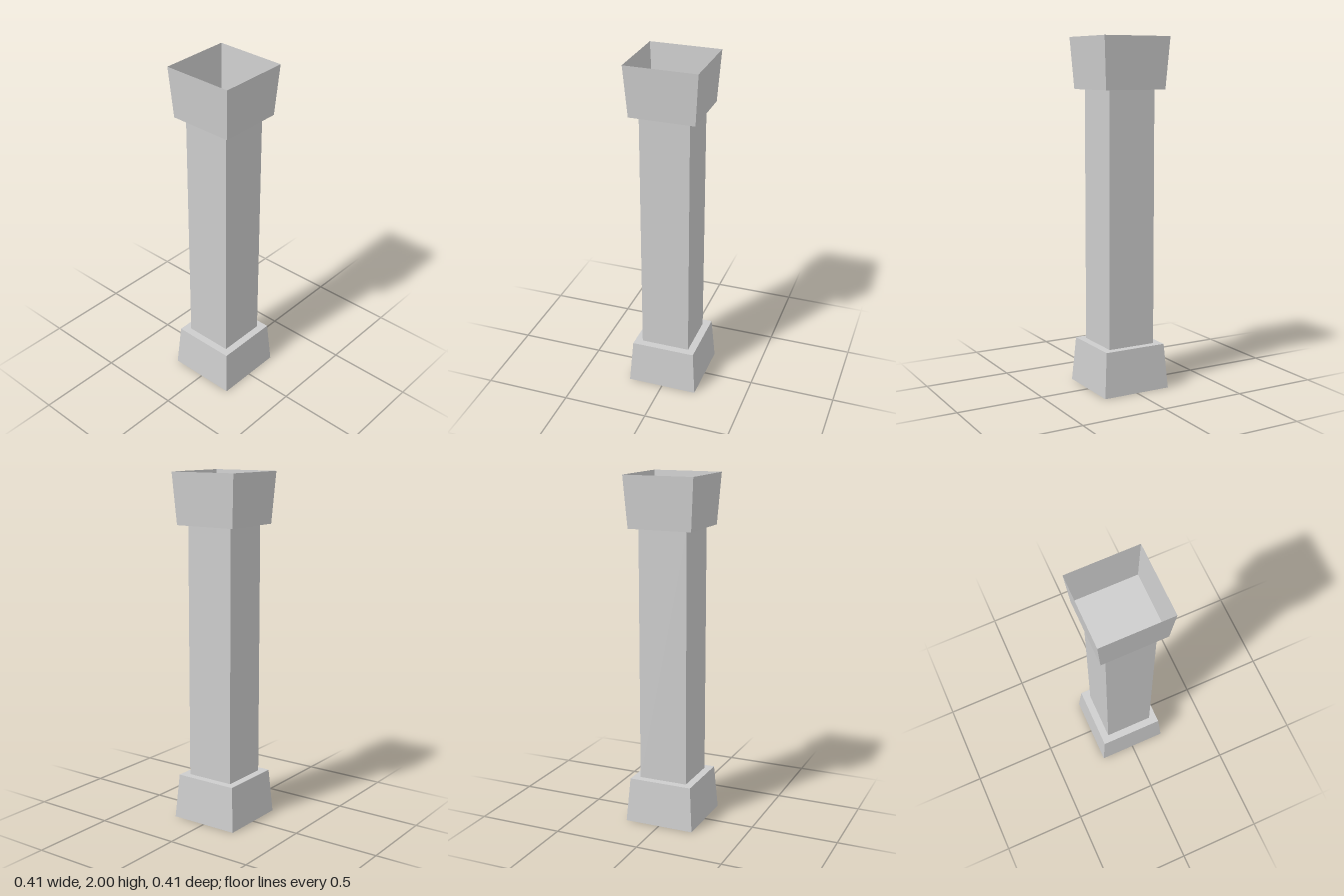
import * as THREE from 'three';

const stone = new THREE.MeshStandardMaterial({ color: 0xcccccc, side: THREE.DoubleSide, flatShading: true });
stone.name = 'grey stone';

// Open square tube from y0 to y1, given its half widths at the bottom and top
function squareTube(name, bottom, top, y0, y1) {
  const geometry = new THREE.CylinderGeometry(top * Math.SQRT2, bottom * Math.SQRT2, y1 - y0, 4, 1, true);
  geometry.rotateY(Math.PI / 4);
  geometry.translate(0, (y0 + y1) / 2, 0);
  const mesh = new THREE.Mesh(geometry, stone);
  mesh.name = name;
  return mesh;
}

// Horizontal square plate closing the narrow end of a block
function plate(name, half, y, facing) {
  const geometry = new THREE.PlaneGeometry(half * 2, half * 2);
  geometry.rotateX(-facing * Math.PI / 2);
  geometry.translate(0, y, 0);
  const mesh = new THREE.Mesh(geometry, stone);
  mesh.name = name;
  return mesh;
}

export function createModel() {
  const wide = 0.206, narrow = 0.187, shaft = 0.143;
  const baseTop = 0.258, capitalBottom = 1.709;
  const model = new THREE.Group();
  model.name = 'pillar';

  // Base: hollow, open underneath
  const base = new THREE.Group();
  base.name = 'base';
  base.add(squareTube('baseWalls', wide, narrow, 0, baseTop), plate('baseTop', narrow, baseTop, 1));

  // Capital: hollow, open above
  const capital = new THREE.Group();
  capital.name = 'capital';
  capital.add(squareTube('capitalWalls', narrow, wide, capitalBottom, 2), plate('capitalFloor', narrow, capitalBottom, -1));

  model.add(base, squareTube('shaft', shaft, shaft, baseTop, capitalBottom), capital);
  return model;
}
